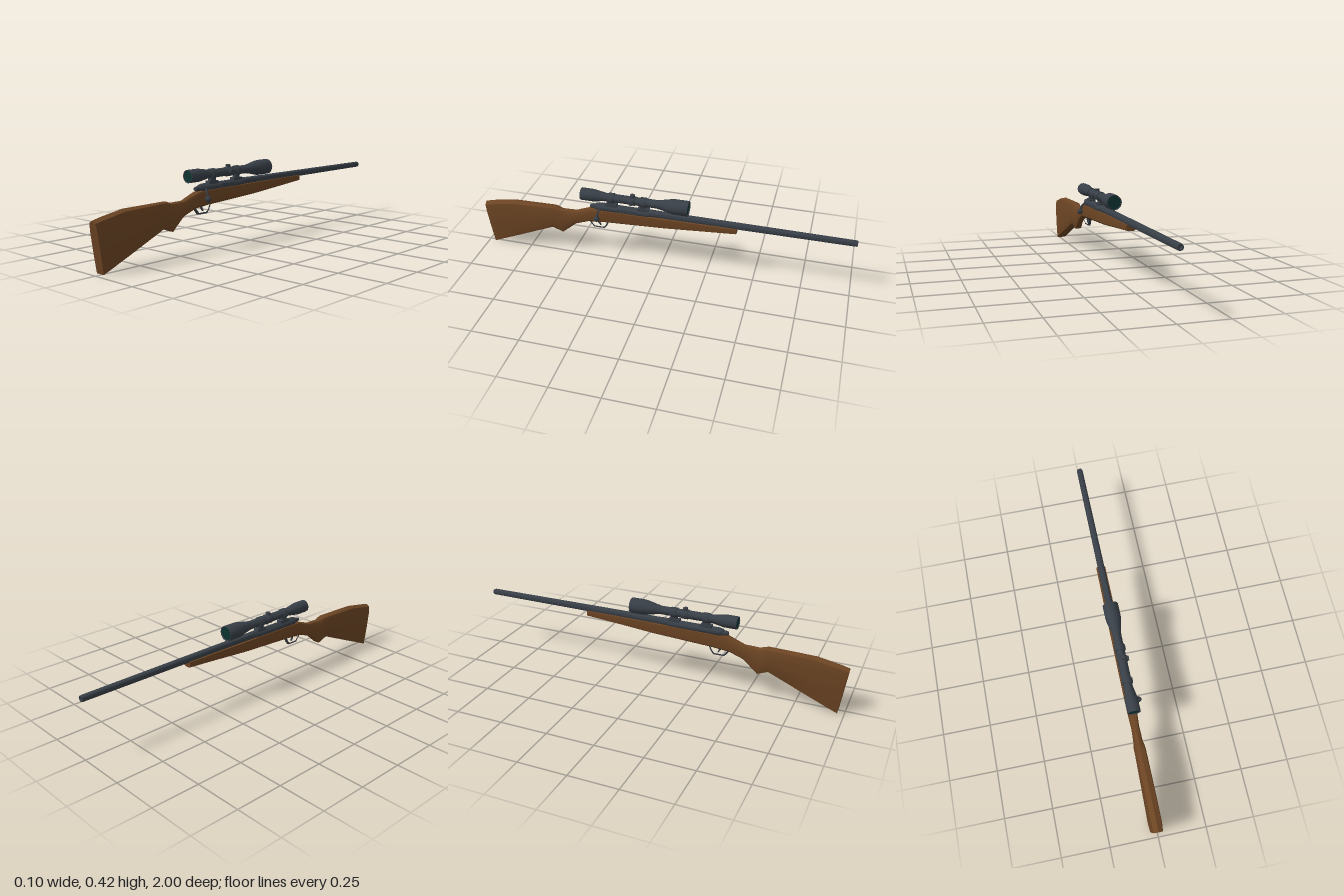
import * as THREE from 'three';
import { toCreasedNormals } from 'three/addons/utils/BufferGeometryUtils.js';

const mat = (name, color) => {
  const m = new THREE.MeshStandardMaterial({ color });
  m.name = name;
  return m;
};

// Closed loft through rings of equal length, capped at both ends
function loft(rings) {
  const n = rings[0].length, pos = rings.flat(2), idx = [];
  for (let s = 0; s < rings.length - 1; s++) {
    for (let i = 0; i < n; i++) {
      const a = s * n + i, b = s * n + (i + 1) % n;
      idx.push(a, b, a + n, b, b + n, a + n);
    }
  }
  const last = (rings.length - 1) * n;
  for (let i = 1; i < n - 1; i++) {
    idx.push(0, i + 1, i, last, last + i, last + i + 1);
  }
  const g = new THREE.BufferGeometry();
  g.setAttribute('position', new THREE.Float32BufferAttribute(pos, 3));
  g.setIndex(idx);
  return toCreasedNormals(g, 0.6);
}

// Stock section leaning from a bottom point to a top point
function stockRing([zt, yt, zb, yb, w, bottom, top]) {
  const half = [[bottom, 0], [0.95, 0.13], [1, 0.45], [0.97, 0.8], [top, 0.95]];
  const at = (x, t) => [x * w, yb + (yt - yb) * t, zb + (zt - zb) * t];
  return [
    ...half.map(([x, t]) => at(x, t)),
    at(0, 1),
    ...half.slice().reverse().map(([x, t]) => at(-x, t)),
  ];
}

// Turned part along z from [radius, z] pairs with rising z
function turned(points, sides = 12) {
  const g = new THREE.LatheGeometry(points.map(([r, z]) => new THREE.Vector2(r, z)), sides);
  g.rotateX(Math.PI / 2);
  return toCreasedNormals(g, 0.7);
}

// Side-view plate of the given width, drawn in (z, y)
function sidePlate(outline, width, hole) {
  const toVec = ([z, y]) => new THREE.Vector2(z, y);
  const shape = new THREE.Shape(outline.map(toVec));
  if (hole) shape.holes.push(new THREE.Path(hole.map(toVec)));
  const g = new THREE.ExtrudeGeometry(shape, { depth: width, bevelEnabled: false });
  g.rotateY(-Math.PI / 2);
  g.translate(width / 2, 0, 0);
  return g;
}

export function createModel() {
  const model = new THREE.Group();
  model.name = 'scopedRifle';
  const body = new THREE.Group();
  body.name = 'rifle';
  body.position.x = -0.011;
  model.add(body);

  const wood = mat('walnut wood', 0x6b4423);
  const metal = mat('blued steel', 0x383f47);
  const glass = mat('lens glass', 0x0d3331);

  const add = (name, geometry, material, x = 0, y = 0, z = 0) => {
    const m = new THREE.Mesh(geometry, material);
    m.name = name;
    m.position.set(x, y, z);
    body.add(m);
    return m;
  };

  // Stock: forend, wrist, pistol grip and butt
  // [top z, top y, bottom z, bottom y, half width, bottom fraction, top fraction]
  add('stock', loft([
    [-0.4, 0.311, -0.4, 0.279, 0.024, 0.5, 0.95],
    [-0.02, 0.309, -0.02, 0.247, 0.026, 0.55, 0.95],
    [0.3, 0.307, 0.3, 0.23, 0.026, 0.55, 0.95],
    [0.375, 0.303, 0.4, 0.22, 0.025, 0.55, 0.8],
    [0.473, 0.268, 0.473, 0.192, 0.02, 0.6, 0.65],
    [0.553, 0.267, 0.53, 0.144, 0.022, 0.65, 0.65],
    [0.572, 0.274, 0.55, 0.128, 0.026, 0.7, 0.7],
    [0.596, 0.278, 0.607, 0.152, 0.028, 0.75, 0.75],
    [0.837, 0.275, 0.82, 0.062, 0.03, 0.85, 0.8],
    [0.955, 0.254, 0.925, 0.018, 0.031, 0.86, 0.8],
    [1.0, 0.244, 0.965, 0.0, 0.027, 0.9, 0.8],
  ].map(stockRing)), wood);

  // Barrel with a hollow muzzle
  add('barrel', turned([
    [0, -0.98], [0.008, -0.98], [0.009, -1], [0.014, -1], [0.016, -0.993],
    [0.018, -0.4], [0.019, 0.0], [0.021, 0.08], [0, 0.08],
  ]), metal, 0, 0.319, 0);

  // Action
  add('receiver', turned([
    [0, 0.06], [0.021, 0.06], [0.022, 0.07], [0.022, 0.34], [0.017, 0.36], [0, 0.36],
  ]), metal, 0, 0.315, 0);
  add('boltShroud', turned([
    [0, 0.34], [0.013, 0.34], [0.013, 0.375], [0.009, 0.388], [0, 0.388],
  ]), metal, 0, 0.314, 0);
  add('ejectionPort', new THREE.BoxGeometry(0.012, 0.018, 0.1), metal, 0.017, 0.318, 0.18);

  // Bolt handle and knob
  const handlePath = new THREE.CatmullRomCurve3([
    [0.01, 0.314, 0.33], [0.023, 0.309, 0.333], [0.035, 0.296, 0.338], [0.044, 0.268, 0.342],
  ].map((p) => new THREE.Vector3(...p)));
  add('boltHandle', new THREE.TubeGeometry(handlePath, 8, 0.0055, 8), metal);
  add('boltKnob', new THREE.SphereGeometry(0.0155, 10, 8), metal, 0.045, 0.263, 0.342);

  // Trigger and its guard
  add('triggerGuard', sidePlate(
    [[0.405, 0.228], [0.392, 0.212], [0.372, 0.186], [0.312, 0.186], [0.298, 0.205], [0.284, 0.236]],
    0.014,
    [[0.395, 0.226], [0.385, 0.215], [0.367, 0.194], [0.317, 0.194], [0.305, 0.208], [0.294, 0.234]],
  ), metal);
  add('trigger', sidePlate(
    [[0.352, 0.235], [0.338, 0.235], [0.341, 0.215], [0.333, 0.201], [0.337, 0.199], [0.349, 0.213]],
    0.008,
  ), metal);

  // Scope mounts: base, post and clamping ring
  for (const z of [0.27, 0.095]) {
    add('mountBase', new THREE.BoxGeometry(0.03, 0.022, 0.06), metal, 0, 0.334, z);
    add('mountPost', new THREE.BoxGeometry(0.022, 0.025, 0.032), metal, 0, 0.352, z);
    add('mountRing', turned([
      [0.02, -0.015], [0.026, -0.015], [0.026, 0.015], [0.02, 0.015],
    ]), metal, 0, 0.38, z);
    for (const side of [-1, 1]) {
      add('ringScrew', new THREE.BoxGeometry(0.006, 0.01, 0.022), metal, side * 0.025, 0.38, z);
    }
  }

  // Scope body with recessed ends
  add('scopeTube', turned([
    [0, -0.138], [0.035, -0.138], [0.036, -0.145], [0.04, -0.145], [0.04, -0.07],
    [0.037, -0.05], [0.027, -0.005], [0.022, 0.025], [0.022, 0.3], [0.031, 0.355],
    [0.033, 0.365], [0.033, 0.435], [0.03, 0.435], [0.029, 0.43], [0, 0.43],
  ]), metal, 0, 0.38, 0);
  add('eyepieceLens', new THREE.CircleGeometry(0.029, 12), glass, 0, 0.38, 0.4315);
  add('objectiveLens', new THREE.CircleGeometry(0.0355, 12), glass, 0, 0.38, -0.1405)
    .rotation.y = Math.PI;

  // Adjustment turrets on the top and the left
  add('turretCollar', turned([
    [0.02, -0.022], [0.025, -0.016], [0.025, 0.016], [0.02, 0.022],
  ]), metal, 0, 0.38, 0.155);
  const turret = new THREE.CylinderGeometry(0.013, 0.014, 0.02, 12);
  add('topTurret', turret, metal, 0, 0.405, 0.155);
  add('sideTurret', turret, metal, 0.023, 0.38, 0.155).rotation.z = -Math.PI / 2;

  return model;
}
